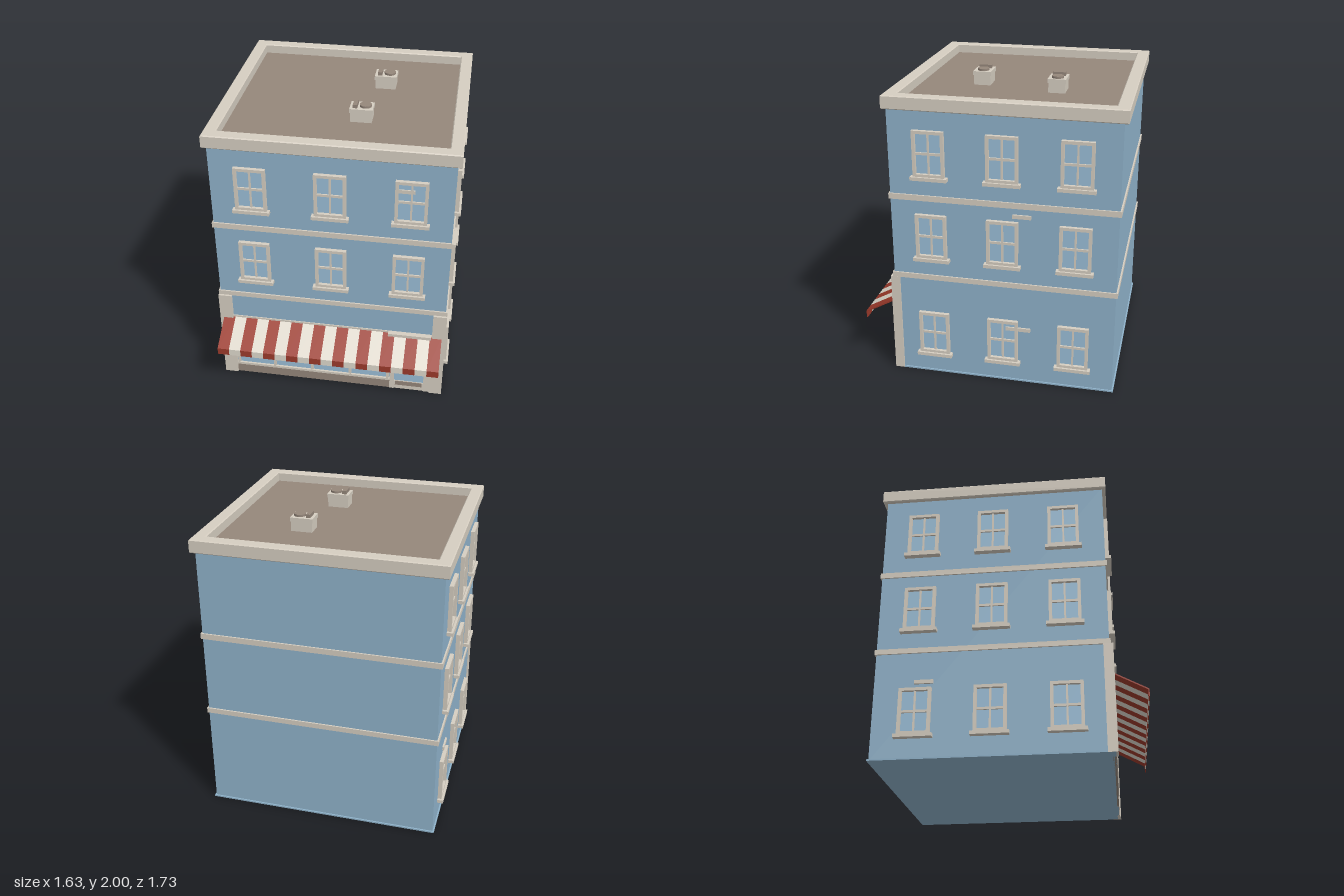
import * as THREE from 'three';

const flat = (name, color) => {
  const m = new THREE.MeshStandardMaterial({ color });
  m.name = name;
  return m;
};

export function createModel() {
  const wall = flat('blue wall', 0x8fb2ca);
  const glass = flat('window glass', 0x9bbfd8);
  const trim = flat('stone trim', 0xd6cec1);
  const brown = flat('roof brown', 0x95877b);
  const red = flat('awning red', 0x9c3a2b);
  const cream = flat('awning cream', 0xdfd9cd);
  red.side = cream.side = THREE.DoubleSide;

  const model = new THREE.Group();
  model.name = 'cornerShop';
  const midZ = -0.1, halfX = 0.775, halfZ = 0.7375, frontZ = midZ + halfZ;

  // Box given by its minimum and maximum corners
  function box(parent, name, mat, x0, x1, y0, y1, z0, z1) {
    const mesh = new THREE.Mesh(new THREE.BoxGeometry(x1 - x0, y1 - y0, z1 - z0), mat);
    mesh.position.set((x0 + x1) / 2, (y0 + y1) / 2, (z0 + z1) / 2);
    mesh.name = name;
    parent.add(mesh);
    return mesh;
  }
  function group(name, parent = model) {
    const g = new THREE.Group();
    g.name = name;
    parent.add(g);
    return g;
  }
  // Course running round the whole building
  const course = (name, mat, out, y0, y1) =>
    box(model, name, mat, -halfX - out, halfX + out, y0, y1, midZ - halfZ - out, frontZ + out);

  function rectPath(P, w, h) {
    const p = new P();
    p.moveTo(-w / 2, -h / 2);
    p.lineTo(w / 2, -h / 2);
    p.lineTo(w / 2, h / 2);
    p.lineTo(-w / 2, h / 2);
    p.closePath();
    return p;
  }
  function ring(w, h, iw, ih, depth, bevel = 0) {
    const s = rectPath(THREE.Shape, w - 2 * bevel, h - 2 * bevel);
    s.holes.push(rectPath(THREE.Path, iw + 2 * bevel, ih + 2 * bevel));
    const g = new THREE.ExtrudeGeometry(s, {
      depth: depth - 2 * bevel, bevelEnabled: bevel > 0,
      bevelSize: bevel, bevelThickness: bevel, bevelSegments: 1,
    });
    return g.translate(0, 0, bevel);
  }

  // Walls, string courses and base
  course('walls', wall, 0, 0, 1.875);
  course('baseEdge', wall, 0.01, 0, 0.01);
  course('lowerCourse', trim, 0.01, 0.703, 0.738);
  course('upperCourse', trim, 0.01, 1.262, 1.3);

  // Parapet and roof
  const parapet = new THREE.Mesh(ring(1.604, 1.528, 1.44, 1.36, 0.088, 0.006), trim);
  parapet.rotation.x = -Math.PI / 2;
  parapet.position.set(0, 1.86, -0.1025);
  parapet.name = 'parapet';
  model.add(parapet);
  box(model, 'roof', brown, -0.73, 0.73, 1.87, 1.885, -0.79, 0.585);

  // Sash window: local +z points out of the wall, origin at the centre of the frame
  const frameGeo = ring(0.205, 0.305, 0.165, 0.265, 0.026);
  function addWindow(parent, x, y, z, turn) {
    const g = group('window', parent);
    const frame = new THREE.Mesh(frameGeo, trim);
    frame.name = 'windowFrame';
    g.add(frame);
    box(g, 'windowPane', glass, -0.085, 0.085, -0.135, 0.135, 0, 0.004);
    box(g, 'verticalBar', trim, -0.006, 0.006, -0.135, 0.135, 0.002, 0.014);
    box(g, 'crossBar', trim, -0.085, 0.085, -0.008, 0.008, 0.002, 0.014);
    box(g, 'windowSill', trim, -0.12, 0.12, -0.173, -0.15, 0, 0.04);
    g.position.set(x, y, z);
    g.rotation.y = turn;
  }
  const frontWindows = group('frontWindows');
  const leftWindows = group('leftWindows');
  const rightWindows = group('rightWindows');
  for (const y of [0.307, 1.018, 1.582]) {
    for (const i of [-1, 0, 1]) {
      if (y > 0.5) addWindow(frontWindows, i * 0.51, y, frontZ, 0);
      addWindow(leftWindows, halfX, y, midZ + i * 0.47, Math.PI / 2);
      addWindow(rightWindows, -halfX, y, midZ + i * 0.47, -Math.PI / 2);
    }
  }

  // Small loose ledges on the walls
  const ledges = group('wallLedges');
  box(ledges, 'ledge', trim, 0.425, 0.53, 1.645, 1.67, frontZ, frontZ + 0.012);
  box(ledges, 'ledge', trim, 0.14, 0.265, 0.22, 0.245, frontZ, frontZ + 0.012);
  box(ledges, 'ledge', trim, halfX, halfX + 0.012, 1.195, 1.22, -0.285, -0.165);
  box(ledges, 'ledge', trim, halfX, halfX + 0.012, 0.385, 0.41, -0.285, -0.12);
  box(ledges, 'ledge', trim, -halfX - 0.012, -halfX, 0.49, 0.515, -0.58, -0.46);

  // Shopfront
  const shop = group('shopfront');
  for (const s of [-1, 1]) {
    box(shop, 'pillar', trim, s * 0.74 - 0.046, s * 0.74 + 0.046, 0, 0.705, 0.6, 0.662);
  }
  box(shop, 'signBoard', wall, -0.694, 0.694, 0.53, 0.703, 0.63, 0.645);
  box(shop, 'headRail', trim, -0.694, 0.694, 0.5, 0.53, 0.63, 0.652);
  box(shop, 'plinth', brown, -0.694, 0.42, 0, 0.072, 0.63, 0.65);
  box(shop, 'shopSill', trim, -0.694, 0.42, 0.072, 0.09, 0.63, 0.655);
  box(shop, 'shopGlass', glass, -0.694, 0.41, 0.09, 0.5, 0.635, 0.641);
  for (const x of [-0.68, -0.415, -0.143, 0.13, 0.4]) {
    box(shop, 'shopMullion', trim, x - 0.009, x + 0.009, 0.09, 0.5, 0.63, 0.652);
  }

  // Door
  const door = group('door', shop);
  box(door, 'doorGlass', glass, 0.44, 0.67, 0.06, 0.5, 0.635, 0.642);
  box(door, 'doorPost', trim, 0.415, 0.447, 0, 0.5, 0.63, 0.654);
  box(door, 'doorPost', trim, 0.655, 0.694, 0, 0.5, 0.63, 0.654);
  box(door, 'doorBottom', trim, 0.447, 0.655, 0, 0.07, 0.63, 0.65);
  box(door, 'kickPlate', brown, 0.455, 0.645, 0.035, 0.07, 0.648, 0.653);
  box(door, 'doorHandle', red, 0.607, 0.625, 0.19, 0.208, 0.64, 0.656);
  box(door, 'doorCanopy', trim, 0.395, 0.69, 0.508, 0.53, 0.63, 0.68);

  // Striped awning: sloping strip with a hanging flap for each stripe
  const awning = group('awning');
  const profile = new THREE.Shape([
    [0.65, 0.518], [0.865, 0.4], [0.865, 0.35], [0.858, 0.35], [0.858, 0.394], [0.65, 0.508],
  ].map(([z, y]) => new THREE.Vector2(-z, y)));
  const stripes = 19, width = 1.52 / stripes;
  const stripeGeo = new THREE.ExtrudeGeometry(profile, { depth: width, bevelEnabled: false });
  stripeGeo.rotateY(Math.PI / 2);
  for (let i = 0; i < stripes; i++) {
    const stripe = new THREE.Mesh(stripeGeo, i % 2 ? cream : red);
    stripe.position.x = -0.76 + i * width;
    stripe.name = 'awningStripe';
    awning.add(stripe);
  }

  // Rooftop units with fan and vent
  for (const [x, z] of [[0.13, 0.165], [0.228, -0.352]]) {
    const unit = group('roofUnit');
    box(unit, 'unitBody', trim, -0.07, 0.07, 0, 0.075, -0.055, 0.055);
    box(unit, 'unitLid', trim, -0.075, 0.075, 0.065, 0.092, -0.06, 0.06);
    box(unit, 'vent', brown, -0.055, -0.026, 0.09, 0.115, -0.042, 0.042);
    const fan = new THREE.Mesh(new THREE.CylinderGeometry(0.039, 0.039, 0.016, 16), brown);
    fan.position.set(0.025, 0.098, 0);
    fan.name = 'fan';
    unit.add(fan);
    unit.position.set(x, 1.885, z);
  }

  // Awning profile is mirrored in z by its rotation, so turn it to face the front
  awning.children.forEach((s) => { s.position.x = -s.position.x; });
  awning.rotation.y = Math.PI;
  return orientAwning(model, awning);
}

// Makes sure the awning hangs in front of the shop
function orientAwning(model, awning) {
  model.updateMatrixWorld(true);
  const b = new THREE.Box3().setFromObject(awning);
  if (b.max.z < 0) awning.rotation.y = 0;
  if (b.max.z < 0) awning.children.forEach((s) => { s.position.x = -s.position.x; });
  return model;
}
